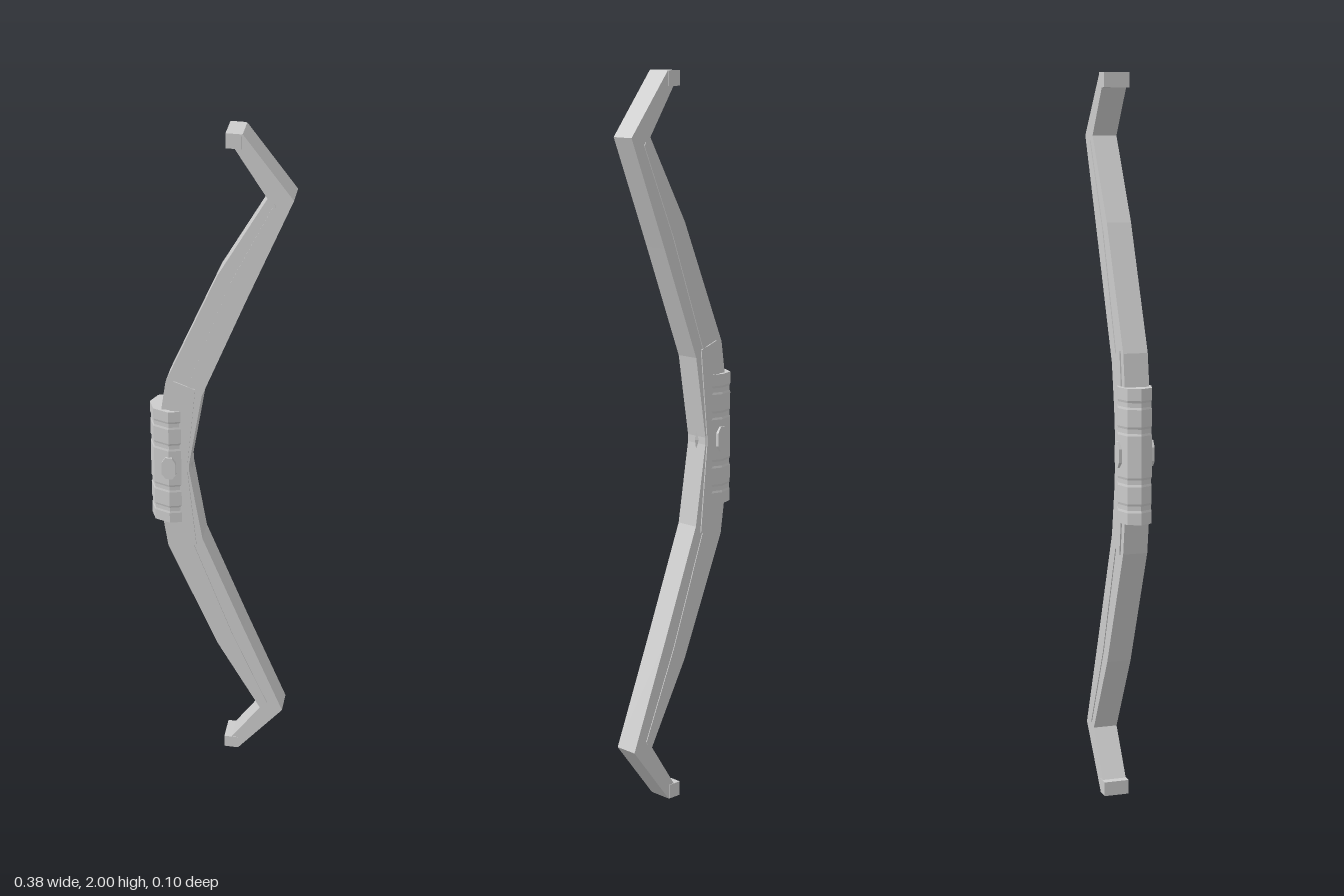
import * as THREE from 'three';

const material = new THREE.MeshStandardMaterial({ color: 0xcccccc, flatShading: true });

// Plate cut from an x/y outline, centred on z = 0
function plate(name, points, halfDepth) {
  const shape = new THREE.Shape(points.map(([x, y]) => new THREE.Vector2(x, y)));
  const geometry = new THREE.ExtrudeGeometry(shape, { depth: halfDepth * 2, bevelEnabled: false });
  geometry.translate(0, 0, -halfDepth);
  const mesh = new THREE.Mesh(geometry, material);
  mesh.name = name;
  return mesh;
}

// Closed loft through equal-length rings, bottom to top, with flat end caps
function loft(name, rings) {
  const n = rings[0].length;
  const index = [];
  for (let r = 0; r < rings.length - 1; r++) {
    for (let i = 0; i < n; i++) {
      const a = r * n + i, b = r * n + (i + 1) % n;
      index.push(a, b, a + n, b, b + n, a + n);
    }
  }
  const last = (rings.length - 1) * n;
  for (let i = 1; i < n - 1; i++) {
    index.push(0, i + 1, i, last, last + i, last + i + 1);
  }
  const geometry = new THREE.BufferGeometry();
  geometry.setAttribute('position', new THREE.Float32BufferAttribute(rings.flat(2), 3));
  geometry.setIndex(index);
  const flat = geometry.toNonIndexed();
  flat.computeVertexNormals();
  const mesh = new THREE.Mesh(flat, material);
  mesh.name = name;
  return mesh;
}

// Mirror an upper-half outline about the middle height to close it
const mirrorY = (inner, outer) => [
  ...inner,
  ...outer,
  ...outer.map(([x, y]) => [x, 2 - y]).reverse(),
  ...inner.map(([x, y]) => [x, 2 - y]).reverse(),
];

export function createModel() {
  const bow = new THREE.Group();
  bow.name = 'bow';

  // Both limbs and the riser in one angular silhouette
  const belly = [[-0.079, 1.01], [-0.043, 1.235], [0.075, 1.54], [0.191, 1.832], [0.062, 2], [0.02, 2]];
  const back = [[0.02, 1.96], [0.042, 1.96], [0.125, 1.832], [0, 1.605], [-0.14, 1.27], [-0.153, 1.18]];
  bow.add(plate('bowBody', mirrorY(belly, back), 0.034));

  // Thin cheek plate on both sides of the riser
  bow.add(plate('riserCheek', mirrorY(
    [[-0.083, 1.01], [-0.06, 1.255]],
    [[-0.118, 1.275], [-0.13, 1.18]]), 0.0375));

  for (const side of [1, -1]) {
    const prefix = side > 0 ? 'upper' : 'lower';

    // Slim raised strip along the middle of each limb
    const strip = [[-0.085, 1.25], [-0.07, 1.25], [0.045, 1.57], [0.147, 1.81], [0.143, 1.82], [0.03, 1.58]]
      .map(([x, y]) => [x, 1 + side * (y - 1)]);
    bow.add(plate(prefix + 'LimbStrip', strip, 0.0363));

    // Squared nock block at each tip
    const nock = new THREE.Mesh(new THREE.BoxGeometry(0.04, 0.04, 0.071), material);
    nock.name = prefix + 'Nock';
    nock.position.set(0.04, 1 + side * 0.98, 0);
    bow.add(nock);
  }

  // Faceted grip with shallow wrapped grooves
  const section = [[-0.191, 0], [-0.175, 0.034], [-0.132, 0.047], [-0.096, 0.0365],
    [-0.096, -0.0365], [-0.132, -0.047], [-0.175, -0.034]];
  const heights = [0.182, 0.15, 0.144, 0.132, 0.126, 0.08, 0.074, 0.062, 0.056];
  const grooved = [0, 0, 1, 1, 0, 0, 1, 1, 0];
  const levels = [
    ...heights.map((h, i) => [1 - h, grooved[i]]),
    ...heights.map((h, i) => [1 + h, grooved[i]]).reverse(),
  ];
  bow.add(loft('grip', levels.map(([y, g]) => {
    const s = g ? 0.97 : 1;
    return section.map(([x, z]) => [-0.12 + (x + 0.12) * s, y, z * s]);
  })));

  // Chamfered block through the middle of the grip
  bow.add(plate('gripStud', [
    [-0.141, 0.967], [-0.123, 0.967], [-0.113, 0.982], [-0.113, 1.018],
    [-0.123, 1.036], [-0.141, 1.036], [-0.152, 1.018], [-0.152, 0.982]], 0.05));

  // Small pointed rest on the inner face of the riser
  const rest = new THREE.Mesh(new THREE.OctahedronGeometry(1), material);
  rest.name = 'arrowRest';
  rest.scale.set(0.009, 0.05, 0.009);
  rest.position.set(-0.081, 1, 0);
  bow.add(rest);

  return bow;
}
